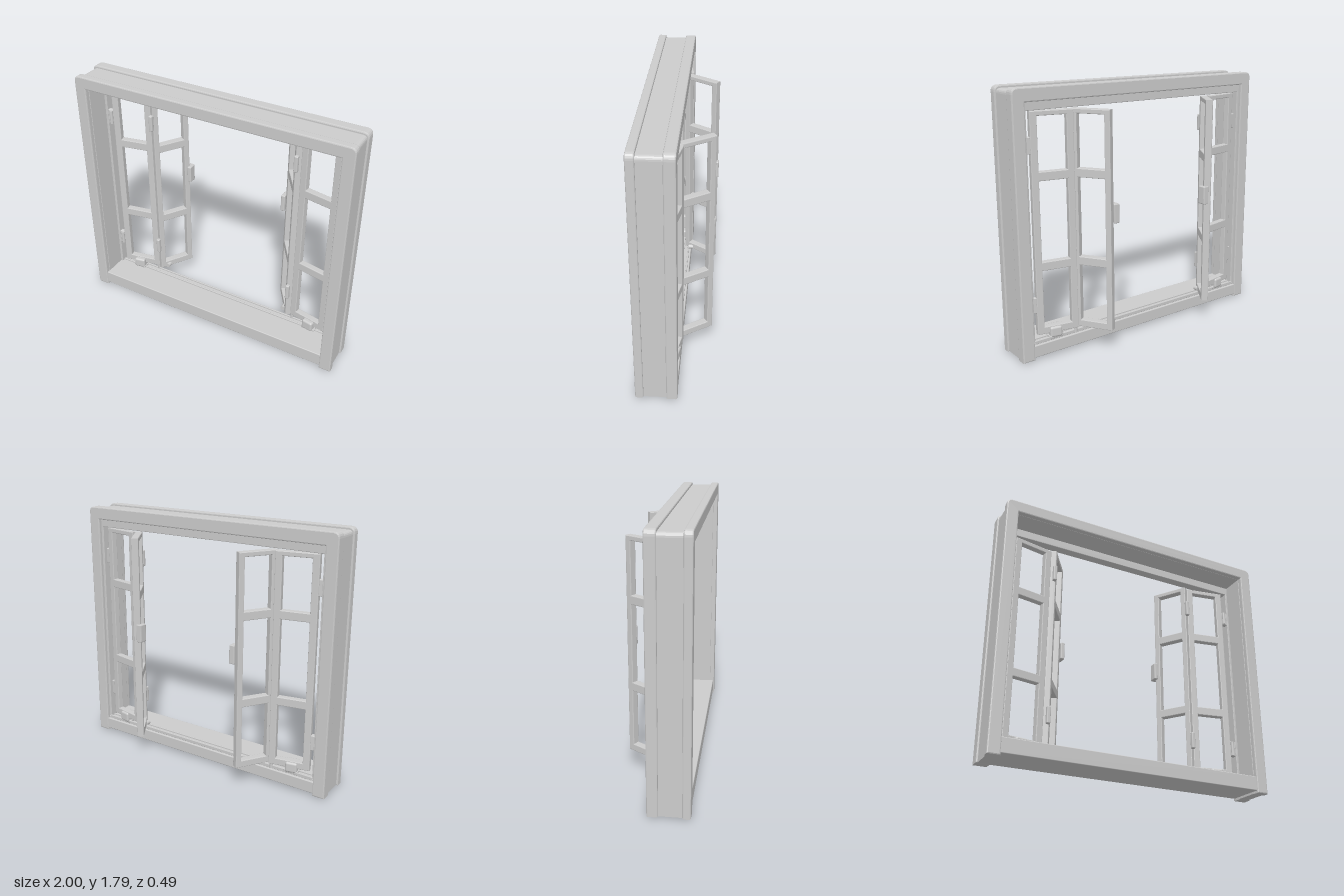
import * as THREE from 'three';
import { RoundedBoxGeometry } from 'three/addons/geometries/RoundedBoxGeometry.js';

const material = new THREE.MeshStandardMaterial({ color: 0xcccccc });

function add(parent, name, geometry, x = 0, y = 0, z = 0, ry = 0) {
  const mesh = new THREE.Mesh(geometry, material);
  mesh.name = name;
  mesh.position.set(x, y, z);
  mesh.rotation.y = ry;
  parent.add(mesh);
  return mesh;
}

const block = (w, h, d, r = 0.006) => new RoundedBoxGeometry(w, h, d, 2, r);

// Extrude a shape from z0 to z1 with softened edges that stay inside the outline
function slab(shape, z0, z1, bevel) {
  const geometry = new THREE.ExtrudeGeometry(shape, {
    depth: z1 - z0 - 2 * bevel, bevelEnabled: true, bevelThickness: bevel,
    bevelSize: bevel, bevelOffset: -bevel, bevelSegments: 2, curveSegments: 5,
  });
  return geometry.translate(0, 0, z0 + bevel);
}

// Upside-down U: two jambs joined by a head, with rounded top corners
function portal(outX, top, inX, inTop, bottom, radius) {
  const s = new THREE.Shape();
  s.moveTo(-outX, bottom);
  s.lineTo(-inX, bottom);
  s.lineTo(-inX, inTop);
  s.lineTo(inX, inTop);
  s.lineTo(inX, bottom);
  s.lineTo(outX, bottom);
  s.lineTo(outX, top - radius);
  s.quadraticCurveTo(outX, top, outX - radius, top);
  s.lineTo(-outX + radius, top);
  s.quadraticCurveTo(-outX, top, -outX, top - radius);
  return s;
}

function rectangle(path, x0, y0, x1, y1) {
  path.moveTo(x0, y0);
  path.lineTo(x1, y0);
  path.lineTo(x1, y1);
  path.lineTo(x0, y1);
  path.closePath();
  return path;
}

// Sash with three open panes, centred on x and z
function sash(width, thickness, stile) {
  const half = width / 2;
  const shape = rectangle(new THREE.Shape(), -half, 0.155, half, 1.645);
  for (const [y0, y1] of [[0.205, 0.6], [0.66, 1.2], [1.26, 1.613]]) {
    shape.holes.push(rectangle(new THREE.Path(), -half + stile, y0, half - stile, y1));
  }
  return slab(shape, -thickness / 2, thickness / 2, 0.005);
}

export function createModel() {
  const model = new THREE.Group();
  model.name = 'foldingWindow';

  // Fixed frame
  const frame = new THREE.Group();
  frame.name = 'frame';
  model.add(frame);
  add(frame, 'frontCasing', slab(portal(1, 1.795, 0.915, 1.71, 0.003, 0.04), 0.188, 0.243, 0.008));
  add(frame, 'frameLining', slab(portal(0.988, 1.778, 0.912, 1.708, 0.005, 0.03), 0.02, 0.21, 0.003));
  add(frame, 'backCasing', slab(portal(1, 1.795, 0.912, 1.705, 0.003, 0.04), -0.035, 0.038, 0.008));
  add(frame, 'stopBead', slab(portal(0.93, 1.73, 0.895, 1.65, 0.06, 0.01), -0.01, 0.055, 0.004));

  // Sill and the bottom track
  add(frame, 'sill', block(1.85, 0.1, 0.25), 0, 0.07, 0.11);
  add(frame, 'backSill', block(1.85, 0.085, 0.04), 0, 0.063, -0.013);
  for (const z of [0.028, -0.012]) {
    add(frame, 'trackRail', block(1.8, 0.024, 0.012, 0.003), 0, 0.118, z);
  }

  // A pair of folded sashes on each side
  for (const side of [1, -1]) {
    const pair = new THREE.Group();
    pair.name = side > 0 ? 'leftSashes' : 'rightSashes';
    model.add(pair);
    const outerTurn = -0.19 * side;
    const innerTurn = -side * THREE.MathUtils.degToRad(57);

    add(pair, 'outerSash', sash(0.29, 0.045, 0.048), 0.718 * side, 0, 0, outerTurn);
    add(pair, 'innerSash', sash(0.27, 0.05, 0.04), 0.488 * side, 0, -0.113, innerTurn);

    // Pull handle hooked over the free edge
    add(pair, 'handlePlate', block(0.03, 0.13, 0.06, 0.008), 0.383 * side, 0.97, -0.212);
    add(pair, 'handleHook', block(0.04, 0.13, 0.016), 0.39 * side, 0.97, -0.237);

    // Hinges at the jamb and at the fold
    for (const y of [1.43, 0.365]) {
      add(pair, 'jambHinge', block(0.05, 0.11, 0.03), 0.88 * side, y, 0.03, outerTurn);
      add(pair, 'jambHingePin', new THREE.CylinderGeometry(0.012, 0.012, 0.1, 16), 0.872 * side, y, 0.048);
      add(pair, 'foldHinge', block(0.028, 0.12, 0.03, 0.008), 0.55 * side, y + 0.02, 0.022);
    }

    // Sill latch and the small guide under the fold
    add(pair, 'sillLatch', block(0.085, 0.075, 0.09, 0.015), 0.735 * side, 0.16, 0.012, outerTurn);
    add(pair, 'latchFoot', block(0.1, 0.02, 0.07), 0.735 * side, 0.125, 0.012);
    const guide = add(pair, 'guideKnob', new THREE.CylinderGeometry(0.017, 0.017, 0.035, 16),
      0.505 * side, 0.172, -0.035);
    guide.rotation.x = Math.PI / 2;
    add(pair, 'guidePin', new THREE.CylinderGeometry(0.012, 0.012, 0.06, 16), 0.585 * side, 0.14, -0.015);
  }
  return model;
}
